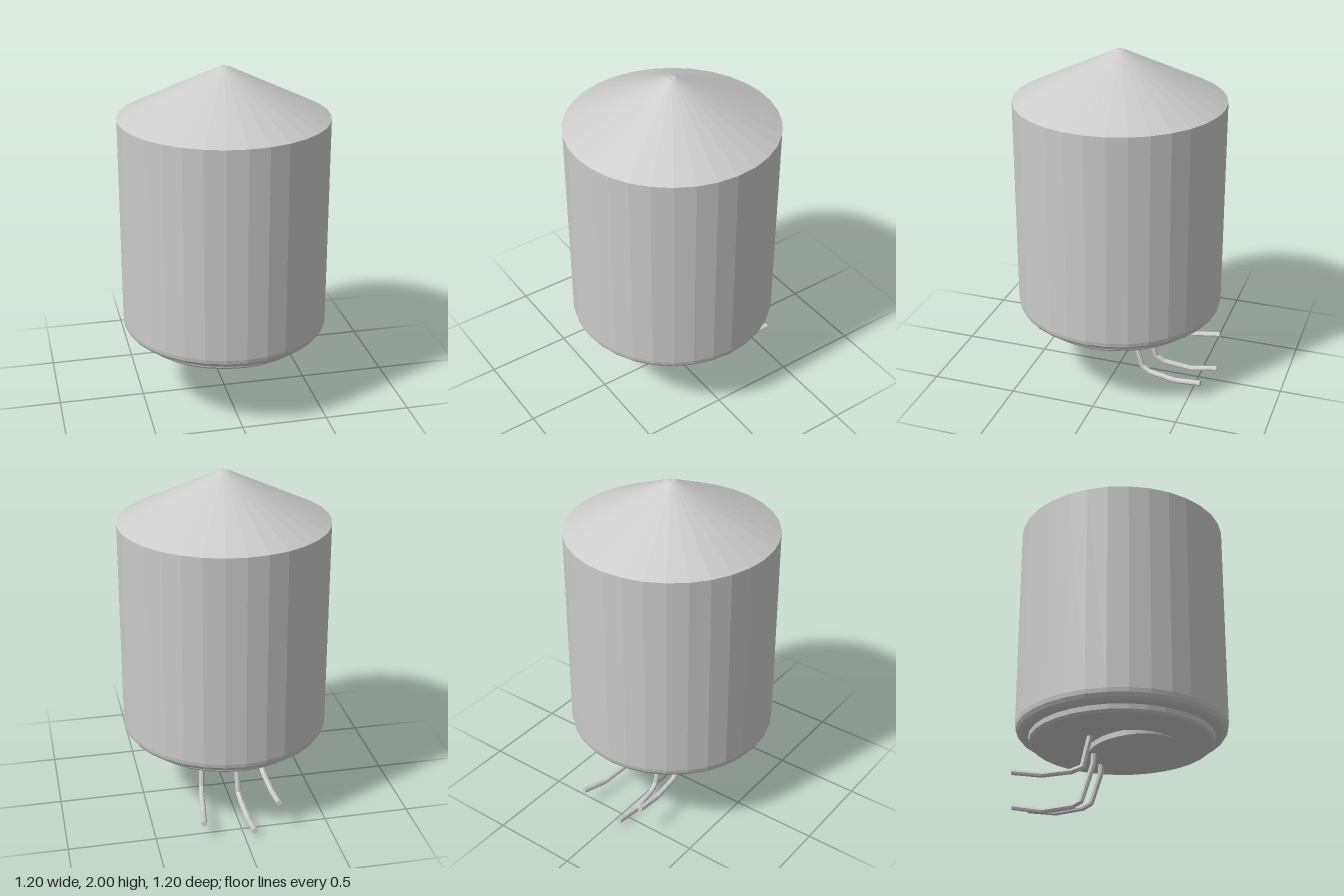
import * as THREE from 'three';

const material = new THREE.MeshStandardMaterial({ color: 0xcccccc, flatShading: true });

function addMesh(parent, geometry, name) {
  const mesh = new THREE.Mesh(geometry, material);
  mesh.name = name;
  parent.add(mesh);
  return mesh;
}

// Surface of revolution; profile runs from bottom to top
function lathe(profile) {
  return new THREE.LatheGeometry(profile.map(([r, y]) => new THREE.Vector2(r, y)), 32);
}

// Bent pipe: straight capped rods joined by small balls
function bentPipe(points, radius, name) {
  const pipe = new THREE.Group();
  pipe.name = name;
  const pts = points.map((p) => new THREE.Vector3(...p));
  const up = new THREE.Vector3(0, 1, 0);
  for (let i = 1; i < pts.length; i++) {
    const dir = pts[i].clone().sub(pts[i - 1]);
    const rod = addMesh(pipe, new THREE.CylinderGeometry(radius, radius, dir.length(), 8), 'pipeSection');
    rod.position.copy(pts[i]).add(pts[i - 1]).multiplyScalar(0.5);
    rod.quaternion.setFromUnitVectors(up, dir.normalize());
    if (i < pts.length - 1) {
      addMesh(pipe, new THREE.SphereGeometry(radius, 8, 6), 'pipeBend').position.copy(pts[i]);
    }
  }
  return pipe;
}

export function createModel() {
  const model = new THREE.Group();
  model.name = 'tank';

  // Cylindrical shell with a rounded lower edge
  const shell = [[0, 0.435], [0.54, 0.435]];
  for (let i = 1; i <= 4; i++) {
    const a = (i / 4) * Math.PI / 2;
    shell.push([0.54 + 0.06 * Math.sin(a), 0.495 - 0.06 * Math.cos(a)]);
  }
  shell.push([0.6, 1.715]);
  addMesh(model, lathe(shell), 'shell');

  // Conical roof with a tiny flat tip
  addMesh(model, lathe([[0.6, 1.715], [0.022, 2], [0, 2]]), 'roof');

  // Stepped base plate
  addMesh(model, lathe([[0, 0.39], [0.49, 0.39], [0.509, 0.395], [0.521, 0.408], [0.525, 0.437]]), 'basePlate');

  // Hatch disc, hanging open toward the back
  const hatch = addMesh(model, new THREE.CylinderGeometry(0.25, 0.25, 0.03, 32), 'hatch');
  hatch.position.set(0, 0.377, 0.06);
  hatch.rotation.x = -0.11;

  // Three bent pipes coming out of the hatch and turning backward
  const pipes = {
    rightPipe: [[-0.18, 0.4, -0.15], [-0.183, 0.31, -0.17], [-0.185, 0.215, -0.19],
      [-0.19, 0.19, -0.25], [-0.197, 0.175, -0.41], [-0.2, 0.197, -0.575]],
    middlePipe: [[-0.04, 0.4, -0.15], [-0.04, 0.28, -0.155], [-0.04, 0.07, -0.22],
      [-0.045, 0.04, -0.27], [-0.053, 0.018, -0.435], [-0.057, 0.045, -0.598]],
    leftPipe: [[0.163, 0.4, -0.14], [0.166, 0.29, -0.145], [0.178, 0.125, -0.2],
      [0.188, 0.1, -0.25], [0.208, 0.085, -0.41], [0.232, 0.112, -0.57]],
  };
  for (const [name, points] of Object.entries(pipes)) model.add(bentPipe(points, 0.016, name));

  return model;
}
